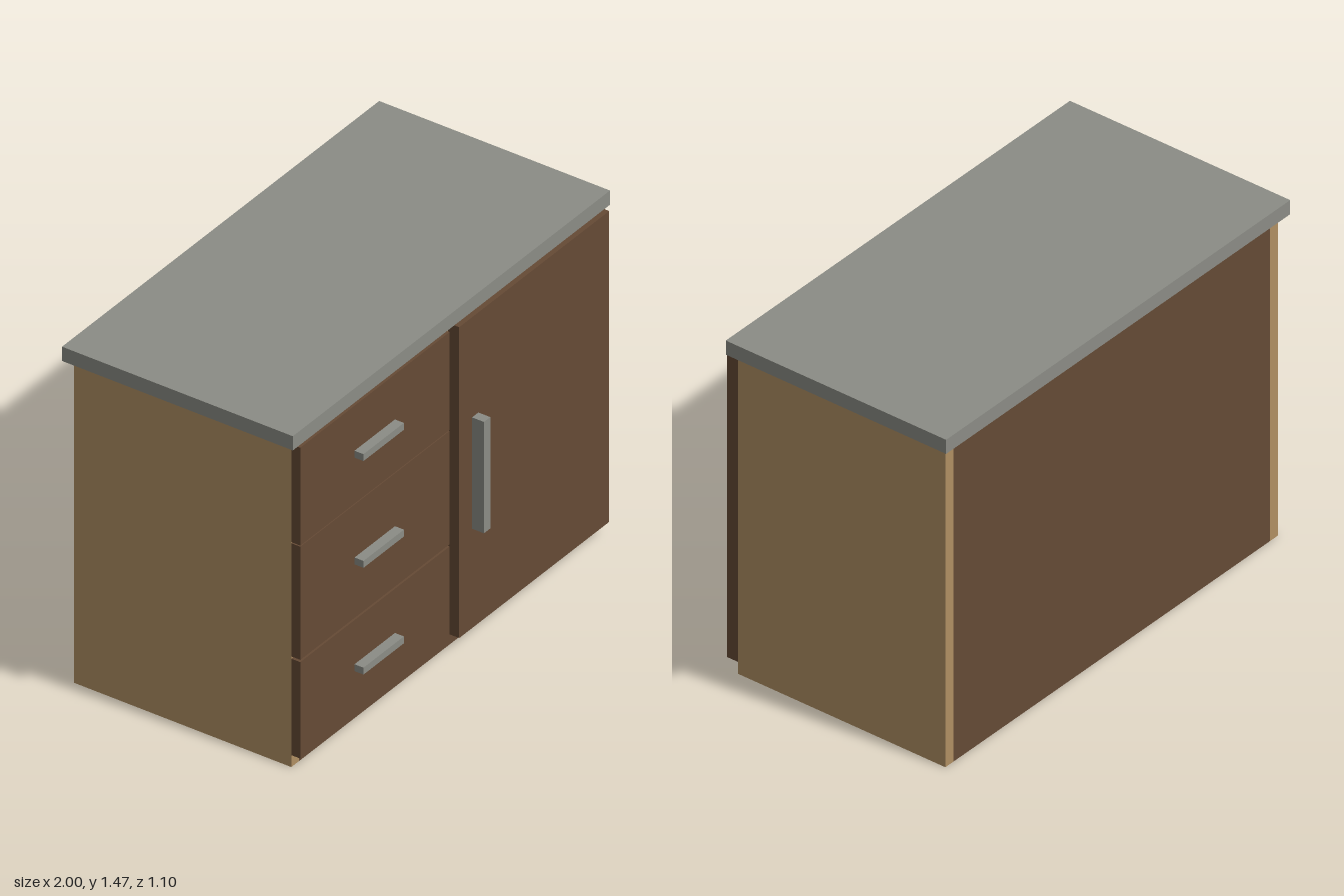
import * as THREE from 'three';

export function createModel() {
  const model = new THREE.Group();
  model.name = 'cabinet';

  const mat = (name, color) => {
    const m = new THREE.MeshStandardMaterial({ color });
    m.name = name;
    return m;
  };
  const stone = mat('grey', 0x8b8c85);
  const wood = mat('lightWood', 0xb08f62);
  const brown = mat('darkWood', 0x654a35);

  // Box given by its lower and upper limits on each axis
  const box = (name, material, [x0, x1], [y0, y1], [z0, z1]) => {
    const mesh = new THREE.Mesh(new THREE.BoxGeometry(x1 - x0, y1 - y0, z1 - z0), material);
    mesh.position.set((x0 + x1) / 2, (y0 + y1) / 2, (z0 + z1) / 2);
    mesh.name = name;
    model.add(mesh);
  };

  const top = 1.408;
  box('worktop', stone, [-1, 1], [top, 1.47], [-0.55, 0.48]);

  // Carcass
  box('leftSide', wood, [0.92, 0.967], [0, top], [-0.52, 0.45]);
  box('rightSide', wood, [-0.967, -0.92], [0, top], [-0.52, 0.45]);
  box('bottomPanel', brown, [-0.92, 0.92], [0, 0.05], [-0.52, 0.45]);
  box('backPanel', brown, [-0.92, 0.92], [0.05, top], [-0.52, -0.47]);
  box('divider', wood, [-0.025, 0.02], [0.05, top], [-0.47, 0.45]);
  box('drawerShelf', wood, [-0.92, -0.025], [0.455, 0.5], [-0.47, 0.445]);

  // Drawers with bar handles
  const drawers = [
    [0.052, 0.472, 0.265],
    [0.482, 0.975, 0.73],
    [0.98, 1.406, 1.195],
  ];
  for (const [y0, y1, handleY] of drawers) {
    box('drawerFront', brown, [-0.967, -0.025], [y0, y1], [0.45, 0.49]);
    box('drawerHandle', stone, [-0.625, -0.37], [handleY - 0.015, handleY + 0.015], [0.49, 0.53]);
  }

  // Door with upright handle
  box('door', brown, [0.021, 0.967], [0.052, 1.406], [0.45, 0.5]);
  box('doorHandle', stone, [0.102, 0.142], [0.485, 0.97], [0.5, 0.553]);

  return model;
}
